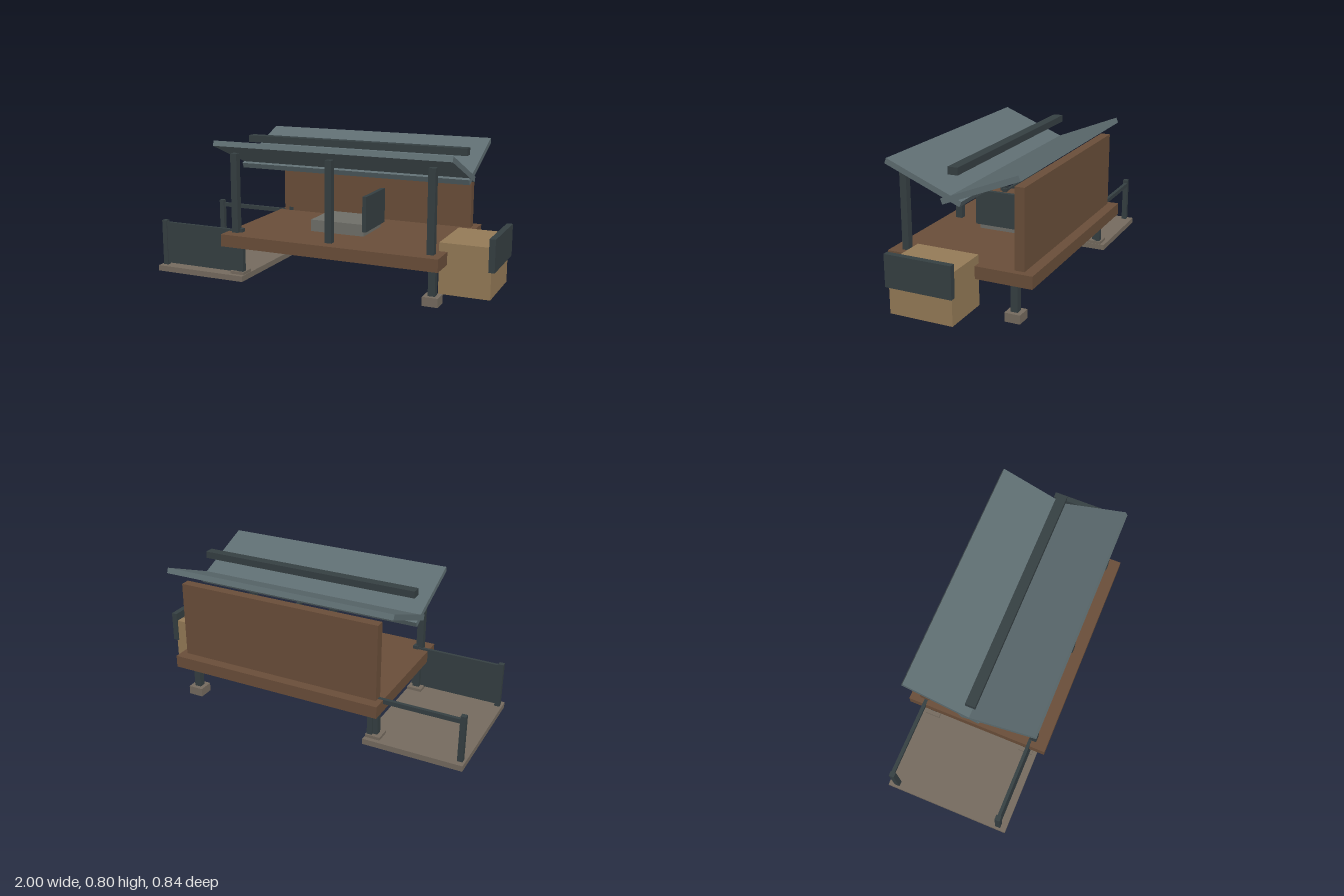
import * as THREE from 'three';

const mat = (color) => new THREE.MeshStandardMaterial({ color, flatShading: true });

export function createModel() {
  const model = new THREE.Group();
  const wood = mat(0x6b4f3a), steel = mat(0x364043), roofing = mat(0x5f6e72);
  const stone = mat(0x766c60), crate = mat(0x967c58), slate = mat(0x70706a);

  // Box given by its extents along each axis
  const block = (name, material, [x0, x1], [y0, y1], [z0, z1]) => {
    const mesh = new THREE.Mesh(new THREE.BoxGeometry(x1 - x0, y1 - y0, z1 - z0), material);
    mesh.position.set((x0 + x1) / 2, (y0 + y1) / 2, (z0 + z1) / 2);
    mesh.name = name;
    model.add(mesh);
    return mesh;
  };
  const around = (c, w) => [c - w / 2, c + w / 2];

  // Raised deck and back wall
  block('deck', wood, [-0.53, 0.745], [0.213, 0.283], [-0.42, 0.42]);
  block('backWall', wood, [-0.5, 0.71], [0.283, 0.72], [-0.361, -0.306]);

  // Stilts on stone footings
  for (const x of [-0.477, 0.682]) {
    for (const z of [-0.3, 0.3]) {
      block('footing', stone, around(x, 0.087), [0, 0.05], around(z, 0.088));
      block('stilt', steel, around(x, 0.039), [0.05, 0.213], around(z, 0.039));
    }
  }

  // Front roof posts
  for (const x of [-0.475, 0.105, 0.682]) {
    block('roofPost', steel, around(x, 0.039), [0.283, 0.735], around(0.336, 0.039));
  }

  // Butterfly roof: two slabs crossing in a valley, with a beam above
  for (const side of [-1, 1]) {
    const slab = block('roofSlab', roofing, [-0.59, 0.795], around(0.704, 0.031), around(side * 0.16, 0.462));
    slab.rotation.x = -side * THREE.MathUtils.degToRad(22);
  }
  block('roofBeam', steel, [-0.56, 0.77], [0.755, 0.795], [-0.028, 0.028]);

  // Low side platform with a solid front fence and an open back rail
  block('platform', stone, [-1, -0.43], [0, 0.033], [-0.369, 0.369]);
  for (const z of [-0.32, 0.32]) {
    for (const x of [-0.972, -0.455]) {
      block('fencePost', steel, around(x, 0.03), [0.033, 0.303], around(z, 0.03));
    }
  }
  block('fencePanel', steel, [-0.972, -0.455], [0.045, 0.293], around(0.32, 0.018));
  block('fenceRail', steel, [-0.972, -0.455], [0.26, 0.285], around(-0.325, 0.02));

  // Low bench on the deck with a screen at its end
  block('bench', slate, [-0.1, 0.225], [0.283, 0.35], [-0.115, 0.142]);
  block('benchScreen', steel, [0.222, 0.245], [0.312, 0.512], [-0.13, 0.157]);

  // Side crate with an outer panel
  block('crate', crate, [0.7, 0.98], [0.05, 0.33], [-0.1, 0.26]);
  block('cratePanel', steel, [0.967, 1], [0.2, 0.378], [-0.109, 0.27]);

  return model;
}
